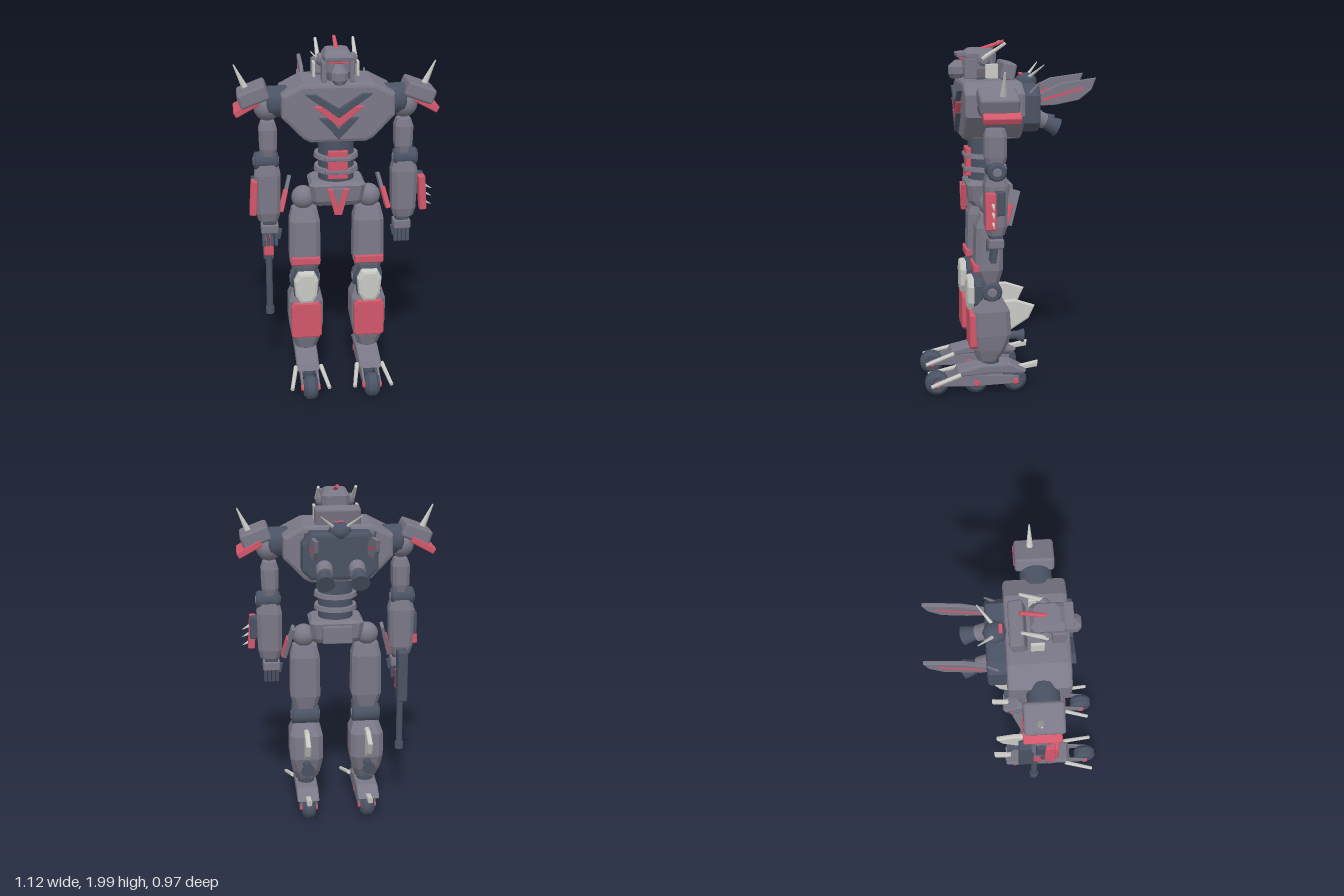
import * as THREE from 'three';
import { toCreasedNormals } from 'three/addons/utils/BufferGeometryUtils.js';
import { RoundedBoxGeometry } from 'three/addons/geometries/RoundedBoxGeometry.js';

const paint = (name, color) => Object.assign(new THREE.MeshStandardMaterial({ color }), { name });

export function createModel() {
  const grey = paint('armour grey', 0x7b7887), dark = paint('dark steel', 0x4a5364);
  const red = paint('coral red', 0xd2566a), light = paint('pale bone', 0xc8c8c4);
  const root = new THREE.Group();
  root.name = 'robot';
  let target = root;

  const add = (name, geo, mat, x = 0, y = 0, z = 0) => {
    const m = new THREE.Mesh(geo, mat);
    m.name = name;
    m.position.set(x, y, z);
    target.add(m);
    return m;
  };
  const section = (name) => {
    target = new THREE.Group();
    target.name = name;
    root.add(target);
  };
  // Box with softened edges
  const block = (name, mat, w, h, d, x, y, z, rx = 0, rz = 0) => {
    const m = add(name, new RoundedBoxGeometry(w, h, d, 1, Math.min(w, h, d) * 0.18), mat, x, y, z);
    m.rotation.set(rx, 0, rz);
    return m;
  };
  // Round bar or spike between two points
  const strut = (name, mat, a, b, r0, r1, seg = 10) => {
    const A = new THREE.Vector3(...a), B = new THREE.Vector3(...b), dir = B.clone().sub(A);
    const m = add(name, new THREE.CylinderGeometry(r1, r0, dir.length(), seg), mat);
    m.position.copy(A).add(B).multiplyScalar(0.5);
    m.quaternion.setFromUnitVectors(new THREE.Vector3(0, 1, 0), dir.normalize());
    return m;
  };
  // Bevelled outline; side = true lays the outline in (z, y) with thickness along x
  const plate = (name, mat, pts, depth, bevel, x, y, z, side = false) => {
    const geo = new THREE.ExtrudeGeometry(new THREE.Shape(pts.map((p) => new THREE.Vector2(...p))), {
      depth: depth - 2 * bevel, bevelEnabled: bevel > 0, bevelThickness: bevel,
      bevelSize: bevel, bevelOffset: -bevel, bevelSegments: 2,
    });
    geo.translate(0, 0, bevel - depth / 2);
    if (side) geo.rotateY(-Math.PI / 2);
    return add(name, geo, mat, x, y, z);
  };
  // Chamfered rectangles [y, width, depth, z] stacked into a faceted limb
  const loft = (name, mat, rows, c, x) => {
    const rings = rows.map(([y, w, d, z]) => {
      const a = w / 2, b = d / 2;
      return [[a, c - b], [a, b - c], [a - c, b], [c - a, b], [-a, b - c], [-a, c - b], [c - a, -b], [a - c, -b]]
        .map(([px, pz]) => [px, y, z + pz]);
    });
    const v = [], tri = (...p) => p.forEach((q) => v.push(...q));
    const n = rings.length - 1, mid = (k) => [0, rows[k][0], rows[k][3]];
    for (let i = 0; i < 8; i++) {
      const j = (i + 1) % 8;
      for (let k = 0; k < n; k++) {
        tri(rings[k][i], rings[k + 1][i], rings[k][j]);
        tri(rings[k][j], rings[k + 1][i], rings[k + 1][j]);
      }
      tri(mid(0), rings[0][i], rings[0][j]);
      tri(mid(n), rings[n][j], rings[n][i]);
    }
    const geo = new THREE.BufferGeometry();
    geo.setAttribute('position', new THREE.Float32BufferAttribute(v, 3));
    geo.computeVertexNormals();
    return add(name, geo, mat, x, 0, 0);
  };
  // Turned disc with bevelled rims, axis along x
  const disc = (name, mat, r, w, x, y, z, b = 0.012) => {
    const h = w / 2;
    const pts = [[0, -h], [r - b, -h], [r, b - h], [r, h - b], [r - b, h], [0, h]].map((p) => new THREE.Vector2(...p));
    const geo = toCreasedNormals(new THREE.LatheGeometry(pts, 24), 0.5);
    return add(name, geo.rotateZ(-Math.PI / 2), mat, x, y, z);
  };
  const ball = (name, mat, r, x, y, z) => add(name, new THREE.SphereGeometry(r, 20, 14), mat, x, y, z);
  const mirror = (half) => [...half, ...half.slice().reverse().map(([x, y]) => [-x, y])];

  // Torso, chest chevrons, waist and pelvis
  section('torso');
  plate('chest', grey, mirror([[0.15, 1.46], [0.19, 1.48], [0.305, 1.6], [0.305, 1.72], [0.19, 1.78]]), 0.33, 0.02, 0, 0, 0.095);
  block('chestBase', grey, 0.36, 0.06, 0.26, 0, 1.495, 0.09);
  [[dark, 0.18, 1.73, 0.13], [red, 0.135, 1.665, 0.115], [dark, 0.107, 1.6, 0.115]].forEach(([mat, w, y, drop]) =>
    plate('chevron', mat, [[-w, y], [0, y - drop], [w, y], [w - 0.055, y], [0, y - drop + 0.05], [0.055 - w, y]], 0.03, 0.004, 0, 0, 0.27));
  strut('waist', dark, [0, 1.18, 0.11], [0, 1.48, 0.11], 0.1, 0.1, 24);
  [1.28, 1.355].forEach((y) => strut('waistRing', grey, [0, y - 0.012, 0.11], [0, y + 0.012, 0.11], 0.125, 0.12, 24));
  block('bellyPlate', red, 0.11, 0.16, 0.03, 0, 1.32, 0.212);
  block('bellyBar', grey, 0.14, 0.022, 0.03, 0, 1.355, 0.222);
  block('bellyBar', grey, 0.14, 0.022, 0.03, 0, 1.28, 0.222);
  loft('pelvis', grey, [[1.08, 0.26, 0.18, 0.11], [1.11, 0.28, 0.22, 0.11], [1.2, 0.31, 0.24, 0.11], [1.22, 0.28, 0.2, 0.11]], 0.025, 0);
  plate('pelvisGuard', grey, [[-0.04, 1.19], [-0.015, 1.06], [0.015, 1.06], [0.04, 1.19]], 0.03, 0.004, 0, 0, 0.225);
  plate('pelvisChevron', red, [[-0.06, 1.19], [-0.02, 1.04], [0.02, 1.04], [0.06, 1.19], [0.03, 1.19], [0, 1.09], [-0.03, 1.19]], 0.03, 0.004, 0, 0, 0.238);
  block('tailPlate', grey, 0.17, 0.1, 0.03, 0, 1.14, -0.02);

  // Head with mask, visor, crest and horns
  section('head');
  strut('neck', dark, [0, 1.76, 0.14], [0, 1.84, 0.14], 0.05, 0.05, 16);
  block('collar', grey, 0.255, 0.1, 0.08, 0, 1.825, -0.005, -0.2);
  loft('helmet', grey, [[1.79, 0.11, 0.13, 0.16], [1.84, 0.15, 0.18, 0.15], [1.92, 0.155, 0.19, 0.15], [1.95, 0.12, 0.13, 0.14]], 0.022, 0);
  block('brow', grey, 0.15, 0.025, 0.05, 0, 1.918, 0.25, 0.15);
  block('visor', red, 0.11, 0.014, 0.012, 0, 1.895, 0.247);
  loft('faceMask', grey, [[1.785, 0.05, 0.06, 0.275], [1.81, 0.085, 0.09, 0.27], [1.85, 0.085, 0.1, 0.265], [1.885, 0.04, 0.06, 0.25]], 0.018, 0);
  strut('crest', red, [0, 1.925, 0.18], [0, 1.985, 0.005], 0.014, 0.01);
  for (const s of [-1, 1]) {
    block('cheekGuard', grey, 0.025, 0.11, 0.07, s * 0.075, 1.84, 0.2);
    disc('ear', grey, 0.035, 0.035, s * 0.09, 1.89, 0.13);
    strut('headHorn', light, [s * 0.1, 1.895, 0.14], [s * 0.103, 1.98, 0.01], 0.014, 0.008);
    block('earFin', light, 0.015, 0.08, 0.07, s * 0.12, 1.83, 0.09);
  }

  // Backpack with beast head, wings and thrusters
  section('backpack');
  plate('pack', dark, mirror([[0.16, 1.5], [0.21, 1.55], [0.21, 1.7], [0.16, 1.76]]), 0.13, 0.02, 0, 0, -0.105);
  const beast = add('beastHead', new THREE.SphereGeometry(0.065, 8, 6), dark, 0, 1.76, -0.12);
  beast.scale.set(1, 0.8, 1);
  block('beastEye', red, 0.05, 0.012, 0.02, 0, 1.805, -0.09);
  for (const s of [-1, 1]) {
    strut('beastHorn', light, [s * 0.03, 1.78, -0.125], [s * 0.11, 1.86, -0.205], 0.011, 0.003);
    disc('wingHinge', grey, 0.035, 0.06, s * 0.155, 1.69, -0.13);
    plate('wing', grey, [[-0.13, 1.64], [-0.155, 1.7], [-0.29, 1.765], [-0.485, 1.79], [-0.46, 1.725], [-0.39, 1.67], [-0.26, 1.645]], 0.022, 0.004, s * 0.158, 0, 0, true);
    plate('wingStripe', red, [[-0.18, 1.665], [-0.18, 1.68], [-0.42, 1.745], [-0.4, 1.725]], 0.028, 0, s * 0.158, 0, 0, true);
    strut('thrusterBase', grey, [s * 0.09, 1.58, -0.13], [s * 0.09, 1.545, -0.215], 0.05, 0.043, 16);
    strut('thrusterNozzle', dark, [s * 0.095, 1.55, -0.2], [s * 0.095, 1.51, -0.285], 0.03, 0.052, 18);
    strut('packAntenna', grey, [s * 0.19, 1.7, -0.1], [s * 0.19, 1.77, -0.165], 0.01, 0.005, 6);
  }

  for (const s of [-1, 1]) {
    // Arm
    section(s > 0 ? 'leftArm' : 'rightArm');
    const ax = s * 0.375;
    disc('shoulderAxle', dark, 0.085, 0.12, s * 0.32, 1.66, 0.11);
    ball('shoulderJoint', grey, 0.075, ax, 1.63, 0.11);
    block('shoulderPad', grey, 0.165, 0.085, 0.21, s * 0.452, 1.705, 0.105, 0, -s * 0.36);
    block('shoulderTrim', red, 0.15, 0.038, 0.2, s * 0.487, 1.643, 0.095, 0, -s * 0.5);
    strut('shoulderSpike', light, [s * 0.485, 1.72, 0.085], [s * 0.55, 1.86, 0.085], 0.02, 0.004);
    loft('upperArm', grey, [[1.36, 0.08, 0.1, 0.11], [1.4, 0.095, 0.12, 0.11], [1.51, 0.1, 0.12, 0.11], [1.55, 0.075, 0.1, 0.11]], 0.02, ax);
    disc('elbow', dark, 0.052, 0.135, s * 0.388, 1.325, 0.11);
    disc('elbowCap', grey, 0.026, 0.145, s * 0.388, 1.325, 0.11, 0.006);
    loft('forearm', grey, [[0.98, 0.11, 0.09, 0.11], [1.03, 0.135, 0.115, 0.11], [1.25, 0.145, 0.125, 0.11], [1.31, 0.12, 0.1, 0.11]], 0.022, s * 0.382);
    const out = s > 0 ? 0.482 : 0.462;
    block('forearmShield', red, 0.04, 0.2, 0.06, s * out, 1.125, 0.15, 0, s * 0.06);
    block('forearmPod', dark, 0.045, 0.13, 0.055, s * (out - 0.01), 1.165, 0.1);
    if (s > 0) [1.07, 1.12, 1.165].forEach((y) => strut('shieldThorn', light, [0.49, y, 0.14], [0.54, y - 0.025, 0.14], 0.012, 0.001, 6));
    block('forearmBlade', grey, 0.02, 0.2, 0.06, s * 0.277, 1.1, 0.01, -0.3, s * 0.25);
    block('bladeTrim', red, 0.028, 0.13, 0.05, s * 0.292, 1.06, 0.04, -0.3, s * 0.25);
    // Hand
    block('wrist', dark, 0.075, 0.06, 0.07, ax, 0.975, 0.11);
    block('palm', grey, 0.1, 0.055, 0.085, ax, 0.93, 0.11);
    for (let i = 0; i < 4; i++) block('finger', dark, 0.019, 0.09, 0.03, ax + (i - 1.5) * 0.023, 0.868, 0.12, -0.15);
    block('thumb', dark, 0.02, 0.06, 0.025, s * 0.322, 0.9, 0.14, 0, s * 0.2);

    // Leg
    section(s > 0 ? 'leftLeg' : 'rightLeg');
    const lx = s * 0.18;
    ball('hip', grey, 0.066, s * 0.185, 1.105, 0.11);
    loft('thigh', grey, [[0.66, 0.13, 0.1, 0.115], [0.74, 0.175, 0.155, 0.125], [0.98, 0.17, 0.15, 0.12], [1.05, 0.14, 0.1, 0.115]], 0.025, lx);
    block('thighStripe', red, 0.165, 0.045, 0.04, lx, 0.752, 0.195);
    disc('knee', dark, 0.058, 0.165, lx, 0.61, 0.11);
    disc('kneeCap', grey, 0.028, 0.175, lx, 0.61, 0.11, 0.006);
    const hexa = (k) => mirror([[0.035, -0.095], [0.062, -0.05], [0.07, 0.045], [0.045, 0.095]]).map(([x, y]) => [x * k, y * k]);
    plate('kneeFrame', dark, hexa(1.1), 0.05, 0.008, lx, 0.598, 0.185);
    plate('kneePlate', light, hexa(1), 0.065, 0.02, lx, 0.598, 0.215);
    loft('shin', grey, [[0.2, 0.12, 0.12, 0.13], [0.27, 0.165, 0.18, 0.12], [0.36, 0.195, 0.22, 0.11], [0.5, 0.195, 0.21, 0.115], [0.57, 0.15, 0.14, 0.12]], 0.028, lx);
    plate('shinPanel', red, mirror([[0.07, 0.285], [0.087, 0.3], [0.087, 0.48], [0.07, 0.505]]), 0.045, 0.01, lx, 0, 0.216);
    plate('calfFin', light, [[0.05, 0.35], [0.05, 0.54], [-0.03, 0.545], [-0.145, 0.505], [-0.11, 0.43], [0, 0.36]], 0.03, 0.01, lx, 0, 0, true);
    strut('calfThruster', dark, [lx, 0.33, 0.03], [lx, 0.33, -0.04], 0.024, 0.024, 14);
    strut('calfNozzle', dark, [lx, 0.33, -0.03], [lx, 0.325, -0.08], 0.02, 0.04, 14);

    // Foot on three wheels
    strut('ankle', dark, [lx, 0.15, 0.11], [lx, 0.23, 0.11], 0.05, 0.05, 14);
    plate('footPlate', grey, [[0.32, 0.115], [0.3, 0.15], [0.16, 0.18], [0, 0.18], [-0.09, 0.13], [-0.07, 0.115], [0.1, 0.125]], 0.13, 0.012, lx, 0, 0, true);
    for (const e of [-1, 1]) {
      plate('wheelRail', grey, [[0.43, 0.06], [0.43, 0.085], [0.31, 0.125], [-0.05, 0.1], [-0.04, 0.055], [0.2, 0.05]], 0.012, 0.002, s * 0.175 + e * 0.046, 0, 0, true);
      strut('toeSpike', light, [s * 0.177 + e * 0.072, 0.13, 0.29], [s * 0.177 + e * 0.105, 0.08, 0.46], 0.013, 0.011);
    }
    plate('heelSpike', light, [[-0.01, 0.115], [-0.16, 0.135], [-0.165, 0.17], [-0.04, 0.145]], 0.03, 0.006, lx, 0, 0, true);
    for (const z of [0.42, 0.195, -0.03]) {
      disc('wheel', dark, 0.067, 0.08, s * 0.175, 0.067, z, 0.02);
      disc('wheelHub', red, 0.02, 0.11, s * 0.175, 0.067, z, 0.005);
    }
  }

  // Rifle carried at the right hand
  section('rifle');
  block('rifleBody', dark, 0.06, 0.31, 0.09, -0.382, 0.865, 0.025);
  block('rifleGrip', red, 0.058, 0.13, 0.06, -0.382, 0.82, 0.09);
  strut('rifleBarrel', dark, [-0.382, 0.76, 0.075], [-0.382, 0.4, 0.075], 0.019, 0.019, 12);
  strut('rifleMuzzle', dark, [-0.382, 0.42, 0.075], [-0.382, 0.38, 0.075], 0.025, 0.025, 12);

  return root;
}
